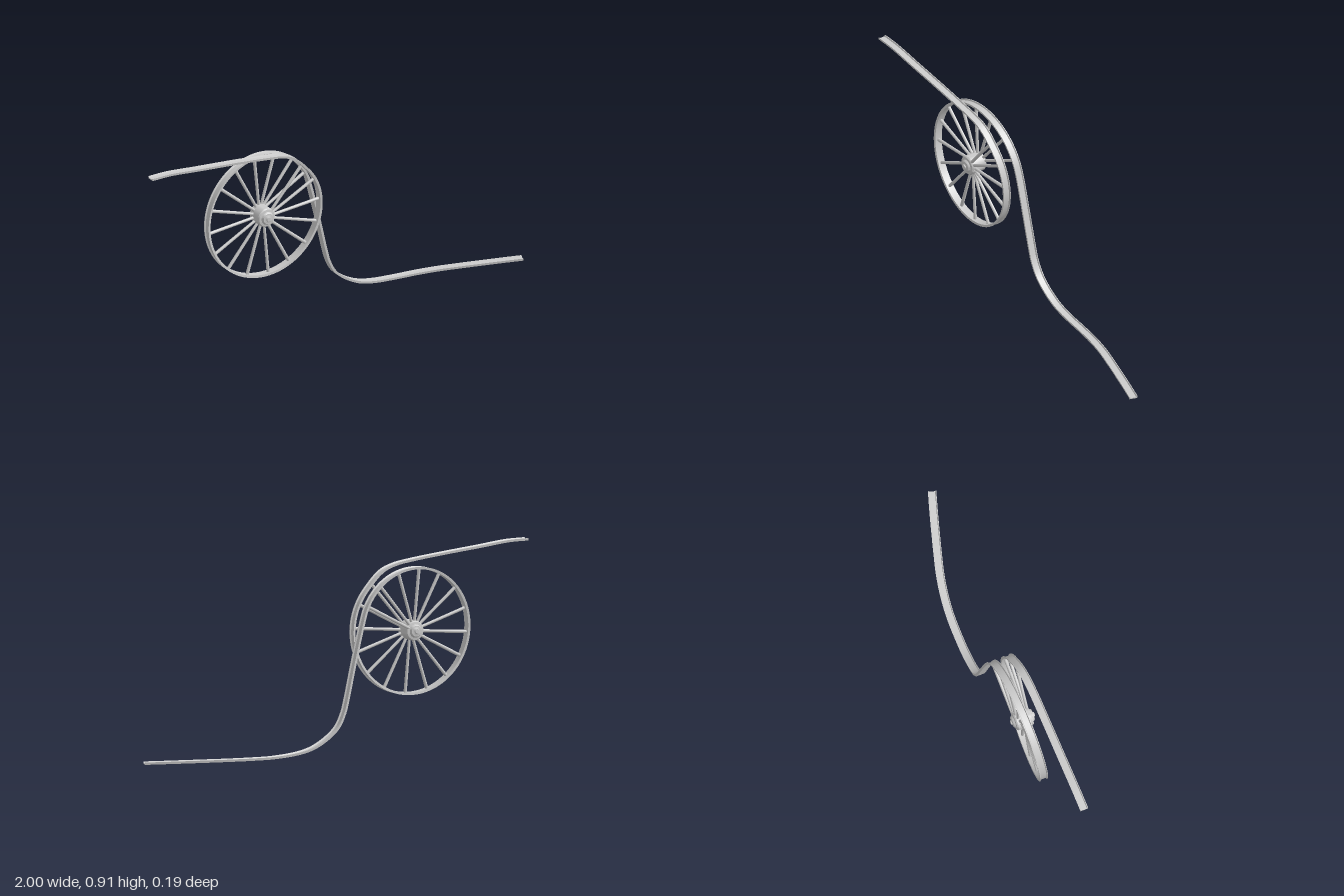
import * as THREE from 'three';
import { toCreasedNormals } from 'three/addons/utils/BufferGeometryUtils.js';

const material = new THREE.MeshStandardMaterial({ color: 0xcccccc });
const CX = -0.36, CY = 0.532, R = 0.286, HUB_Z = -0.018;

// Point on the helical loop, a = degrees travelled clockwise from the top
function helix(a, r = R) {
  const t = THREE.MathUtils.degToRad(a);
  return new THREE.Vector3(CX + r * Math.sin(t), CY + r * Math.cos(t), 0.031 - 0.08 * a / 360);
}

// Whole run of the track: lead-in, one turn and a bit, drop, run-out
function trackCurve() {
  const pts = [
    [-1, 0.896, 0.032], [-0.9, 0.895, 0.032], [-0.75, 0.88, 0.032], [-0.55, 0.861, 0.032],
    [-0.38, 0.842, 0.032], [-0.3, 0.829, 0.03], [-0.23, 0.802, 0.026],
  ].map(p => new THREE.Vector3(...p));
  for (let i = 0; i <= 32; i++) pts.push(helix(48 + i * (437 - 48) / 32));
  pts.push(...[
    [-0.035, 0.42, -0.069], [0.01, 0.235, -0.073], [0.025, 0.185, -0.074], [0.06, 0.12, -0.076],
    [0.115, 0.072, -0.076], [0.19, 0.032, -0.076], [0.27, 0.012, -0.075], [0.4, 0.001, -0.071],
    [0.5, 0, -0.06], [0.6, 0, -0.041], [0.7, 0, -0.014], [0.8, 0, 0.015], [0.9, 0, 0.045], [0.995, 0, 0.075],
  ].map(p => new THREE.Vector3(...p)));
  return new THREE.CatmullRomCurve3(pts, false, 'centripetal');
}

// Sweep a closed profile [side, up] along the curve, keeping it level across z
function sweep(curve, profile, steps) {
  const pos = [], index = [], n = profile.length;
  for (let i = 0; i <= steps; i++) {
    const p = curve.getPoint(i / steps), t = curve.getTangent(i / steps);
    const side = new THREE.Vector3(0, 0, 1).addScaledVector(t, -t.z).normalize();
    const up = new THREE.Vector3().crossVectors(side, t);
    for (const [s, u] of profile) {
      const v = p.clone().addScaledVector(side, s).addScaledVector(up, u);
      pos.push(v.x, v.y, v.z);
    }
  }
  for (let i = 0; i < steps; i++) for (let j = 0; j < n; j++) {
    const a = i * n + j, b = i * n + (j + 1) % n;
    index.push(a, b, b + n, a, b + n, a + n);
  }
  // End caps
  const shape = profile.map(p => new THREE.Vector2(...p));
  for (const [a, b, c] of THREE.ShapeUtils.triangulateShape(shape, [])) {
    const e = steps * n;
    index.push(a, c, b, e + a, e + b, e + c);
  }
  const g = new THREE.BufferGeometry();
  g.setAttribute('position', new THREE.Float32BufferAttribute(pos, 3));
  g.setIndex(index);
  return toCreasedNormals(g, 0.5);
}

function add(parent, name, geometry) {
  const mesh = new THREE.Mesh(geometry, material);
  mesh.name = name;
  parent.add(mesh);
  return mesh;
}

export function createModel() {
  const model = new THREE.Group();
  model.name = 'spiralTrack';

  // Channel track with a raised lip along both edges
  const half = [[0.0135, 0.005], [0.0165, 0.011], [0.0195, 0.011], [0.018, 0]];
  const profile = [...half, ...half.map(([s, u]) => [-s, u]).reverse()];
  const track = add(model, 'track', sweep(trackCurve(), profile, 212));
  track.material = new THREE.MeshStandardMaterial({ color: 0xcccccc, side: THREE.DoubleSide });

  // Wheel spokes follow the spiral, so the top right quarter carries two sets
  const wheel = new THREE.Group();
  wheel.name = 'wheel';
  model.add(wheel);
  const spokeGeometry = new THREE.CylinderGeometry(0.008, 0.007, 1, 8);
  const yAxis = new THREE.Vector3(0, 1, 0);
  for (let i = 0; i < 18; i++) {
    const a = 40 + i * 22.5;
    const outer = helix(a, R + 0.001), inner = helix(a, 0.03);
    inner.z = HUB_Z + (inner.z - HUB_Z) * 0.8;
    const dir = outer.clone().sub(inner);
    const spoke = add(wheel, 'spoke', spokeGeometry);
    spoke.position.copy(inner).lerp(outer, 0.5);
    spoke.scale.y = dir.length();
    spoke.quaternion.setFromUnitVectors(yAxis, dir.normalize());
  }

  // Stepped hub with a raised ring and axle cap on both faces
  const face = [[0, 0.058], [0.01, 0.058], [0.012, 0.053], [0.016, 0.051], [0.025, 0.051],
    [0.029, 0.046], [0.031, 0.042], [0.042, 0.04], [0.046, 0.034]];
  const outline = [...face.map(([r, h]) => [r, -h]), ...face.slice().reverse()];
  const hubGeometry = new THREE.LatheGeometry(outline.map(p => new THREE.Vector2(...p)), 32);
  const hub = add(wheel, 'hub', toCreasedNormals(hubGeometry, 0.5));
  hub.rotation.x = Math.PI / 2;
  hub.position.set(CX, CY + 0.002, HUB_Z);

  return model;
}
